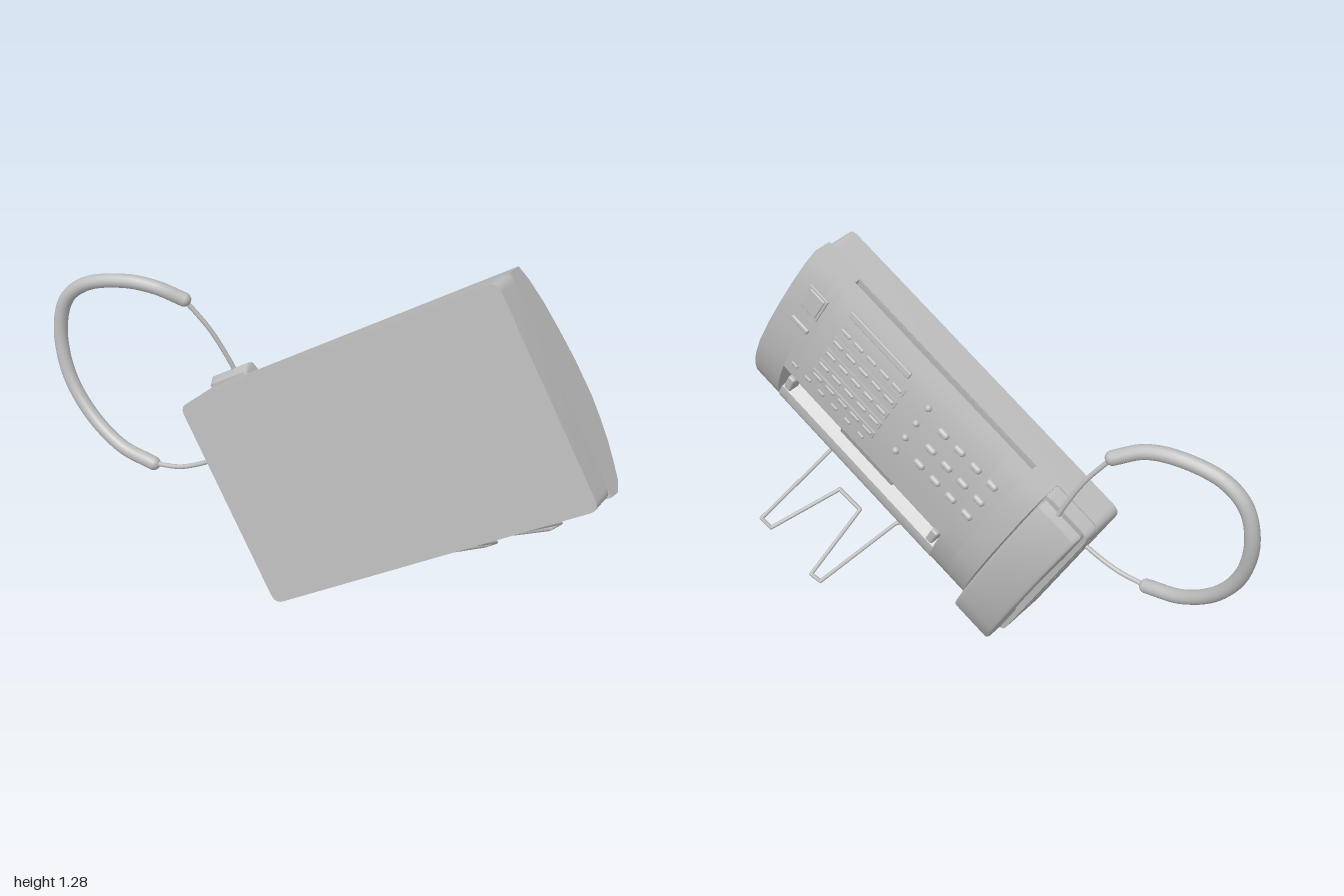
import * as THREE from 'three';
import { toCreasedNormals } from 'three/addons/utils/BufferGeometryUtils.js';
import { RoundedBoxGeometry } from 'three/addons/geometries/RoundedBoxGeometry.js';

const grey = new THREE.MeshStandardMaterial({ color: 0xbcbcbc });
grey.name = 'light grey plastic';

// Top outline of the console, [depth, height], front to rear
const TOP = [[-0.005, 0.15], [0.02, 0.185], [0.075, 0.21], [0.135, 0.232], [0.2, 0.247], [0.28, 0.258],
  [0.4, 0.254], [0.5, 0.24], [0.61, 0.218], [0.69, 0.192], [0.74, 0.165]];

function add(parent, name, geometry, x = 0, y = 0, z = 0) {
  const mesh = new THREE.Mesh(geometry, grey);
  mesh.name = name;
  mesh.position.set(x, y, z);
  parent.add(mesh);
  return mesh;
}

// Extrude a [depth, height] outline along x from x0 to x1
function slice(points, x0, x1, bevel = 0) {
  const shape = new THREE.Shape(points.map(p => new THREE.Vector2(p[0], p[1])));
  const g = new THREE.ExtrudeGeometry(shape, {
    depth: x1 - x0 - 2 * bevel, bevelEnabled: bevel > 0,
    bevelSize: bevel, bevelThickness: bevel, bevelOffset: -bevel, bevelSegments: 3,
  });
  g.rotateY(-Math.PI / 2);
  g.translate(x1 - bevel, 0, 0);
  return toCreasedNormals(g, 0.6);
}

// Flat slab with rounded plan corners
function slab(x0, x1, z0, z1, y0, y1, r) {
  const s = new THREE.Shape();
  s.moveTo(x0 + r, z0);
  s.lineTo(x1 - r, z0).quadraticCurveTo(x1, z0, x1, z0 + r);
  s.lineTo(x1, z1 - r).quadraticCurveTo(x1, z1, x1 - r, z1);
  s.lineTo(x0 + r, z1).quadraticCurveTo(x0, z1, x0, z1 - r);
  s.lineTo(x0, z0 + r).quadraticCurveTo(x0, z0, x0 + r, z0);
  const g = new THREE.ExtrudeGeometry(s, { depth: y1 - y0, bevelEnabled: false, curveSegments: 6 });
  g.rotateX(Math.PI / 2);
  g.translate(0, y1, 0);
  return toCreasedNormals(g, 0.6);
}

// Console outline, optionally with paper slots and a document recess
function outline(slots, recess) {
  const front = slots ? [[0.05, 0.1], [0.05, 0.118], [0, 0.118]] : [[0, 0.1]];
  const rear = slots ? [[0.74, 0.137], [0.69, 0.137], [0.69, 0.115], [0.74, 0.115], [0.74, 0.1]] : [[0.74, 0.1]];
  const dip = [[-0.005, 0.15], [0.015, 0.185], [0.05, 0.2], [0.085, 0.195], [0.11, 0.155], [0.15, 0.155], [0.25, 0.215], [0.28, 0.258]];
  const top = recess ? dip.concat(TOP.slice(6)) : TOP;
  return [...front, ...top, ...rear].reverse();
}

// Set a part on the sloping top, aligned to its surface
function onTop(parent, name, geometry, x, z) {
  let i = 0;
  while (i < TOP.length - 2 && TOP[i + 1][0] < z) i++;
  const [a, b] = [TOP[i], TOP[i + 1]];
  const slope = (b[1] - a[1]) / (b[0] - a[0]);
  const m = add(parent, name, geometry, x, a[1] + slope * (z - a[0]), z);
  m.rotation.x = -Math.atan(slope);
}

function buildConsole(machine) {
  // Base tray, seam and deck under the handset
  add(machine, 'base', slab(0, 1.26, 0, 0.74, 0, 0.106, 0.035));
  add(machine, 'seam', slab(0.005, 1.255, 0.005, 0.735, 0.1, 0.116, 0.035));
  add(machine, 'handsetDeck', slab(0, 0.2, 0, 0.74, 0.111, 0.165, 0.03));

  // Upper housing
  [[0.19, 0.28, false, false], [0.28, 0.36, true, false], [0.36, 1.1, true, true],
    [1.1, 1.14, false, true], [1.14, 1.26, false, false]].forEach(([x0, x1, slots, recess]) =>
    add(machine, 'upperHousing', slice(outline(slots, recess), x0, x1)));

  // Document ramp and guides in the recess
  add(machine, 'documentRamp', slice([[0.12, 0.15], [0.25, 0.21], [0.265, 0.24], [0.15, 0.178], [0.12, 0.17]], 0.62, 0.88));
  for (const x of [0.39, 1.11]) {
    add(machine, 'documentGuide', new RoundedBoxGeometry(0.03, 0.05, 0.07, 2, 0.008), x, 0.195, 0.16);
  }
}

function buildControls(machine) {
  // Square button and pill switch at the far end
  onTop(machine, 'squareButtonFrame', new RoundedBoxGeometry(0.085, 0.008, 0.1, 2, 0.003), 1.16, 0.61);
  onTop(machine, 'squareButton', new RoundedBoxGeometry(0.068, 0.016, 0.082, 2, 0.005), 1.16, 0.61);
  onTop(machine, 'pillSwitch', new RoundedBoxGeometry(0.08, 0.016, 0.022, 2, 0.007), 1.16, 0.5);

  // Long function bars
  for (let i = 0; i < 5; i++) {
    const z = 0.39 + i * 0.058;
    onTop(machine, 'labelStrip', new THREE.BoxGeometry(0.3, 0.012, 0.034), 0.89, z);
    for (let k = 0; k < 5; k++) {
      onTop(machine, 'functionKey', new RoundedBoxGeometry(0.045, 0.02, 0.015, 1, 0.005), 0.77 + k * 0.06, z);
    }
  }
  for (let k = 0; k < 6; k++) {
    onTop(machine, 'smallKey', new RoundedBoxGeometry(0.03, 0.012, 0.014, 1, 0.004), 0.78 + k * 0.065, 0.335);
  }
  onTop(machine, 'displayStrip', new RoundedBoxGeometry(0.28, 0.012, 0.025, 1, 0.004), 0.9, 0.685);

  // Round lamps and the number pad
  const lamp = new THREE.SphereGeometry(0.013, 12, 8);
  for (let i = 0; i < 4; i++) onTop(machine, 'roundKey', lamp, 0.65, 0.42 + i * 0.078);
  const key = new RoundedBoxGeometry(0.046, 0.026, 0.026, 3, 0.012);
  for (let c = 0; c < 4; c++) {
    for (let r = 0; r < 3; r++) onTop(machine, 'numberKey', key, 0.335 + c * 0.075, 0.46 + r * 0.085);
  }
}

function buildHandset(machine) {
  // Arched grip with a cup at each end
  const profile = [[0.02, 0.17], [0.18, 0.17], [0.2, 0.2], [0.25, 0.228], [0.38, 0.24], [0.51, 0.228],
    [0.57, 0.2], [0.59, 0.17], [0.75, 0.17], [0.77, 0.2], [0.765, 0.235], [0.7, 0.26], [0.58, 0.284],
    [0.45, 0.296], [0.3, 0.297], [0.15, 0.285], [0.05, 0.262], [0.015, 0.235]];
  add(machine, 'handset', slice(profile, 0.015, 0.18, 0.012));
}

// Chain of straight round bars with rounded joints
function rod(parent, name, points, r) {
  const v = points.map(p => new THREE.Vector3(...p));
  const up = new THREE.Vector3(0, 1, 0);
  for (let i = 0; i < v.length; i++) {
    add(parent, name, new THREE.SphereGeometry(r, 10, 8), ...v[i].toArray());
    if (i === 0) continue;
    const d = v[i].clone().sub(v[i - 1]);
    const mid = v[i].clone().add(v[i - 1]).multiplyScalar(0.5);
    const bar = add(parent, name, new THREE.CylinderGeometry(r, r, d.length(), 10, 1, true), ...mid.toArray());
    bar.quaternion.setFromUnitVectors(up, d.normalize());
  }
}

function cable(parent, name, points, r) {
  const curve = new THREE.CatmullRomCurve3(points.map(p => new THREE.Vector3(...p)));
  add(parent, name, new THREE.TubeGeometry(curve, 80, r, 14), 0, 0, 0);
  for (const p of [points[0], points[points.length - 1]]) {
    add(parent, name + 'End', new THREE.SphereGeometry(r, 14, 10), ...p);
  }
}

export function createModel() {
  const model = new THREE.Group();
  model.name = 'deskFaxTelephone';

  // Machine, modelled flat and then tipped with its underside to the front
  const machine = new THREE.Group();
  machine.name = 'machine';
  buildConsole(machine);
  buildControls(machine);
  buildHandset(machine);
  const u = new THREE.Vector3(0.849, 0.524, 0.067).normalize();
  const v = new THREE.Vector3(-0.516, 0.842, -0.156);
  v.addScaledVector(u, -v.dot(u)).normalize();
  const up = new THREE.Vector3().crossVectors(v, u);
  const m = new THREE.Matrix4().makeBasis(u, up, v).setPosition(-0.11, 0.026, 0.168);
  m.decompose(machine.position, machine.quaternion, machine.scale);
  model.add(machine);

  // Bent wire paper support
  rod(model, 'wireSupport', [[0.32, 0.275, 0.11], [0.38, 0.26, 0.04], [0.5, 0.145, -0.245], [0.535, 0.165, -0.25],
    [0.5, 0.3, 0], [0.585, 0.355, 0], [0.72, 0.275, -0.225], [0.755, 0.305, -0.23], [0.67, 0.455, 0.11], [0.66, 0.5, 0.13]], 0.007);

  // Handset cord: thick loop with thin leads
  cable(model, 'cordLoop', [[-0.53, 0.965, -0.105], [-0.62, 1.005, -0.08], [-0.73, 1.015, -0.07], [-0.87, 0.985, -0.062],
    [-0.945, 0.92, -0.06], [-0.975, 0.8, -0.055], [-0.945, 0.65, -0.035], [-0.86, 0.525, -0.01], [-0.73, 0.435, 0.022],
    [-0.6, 0.405, 0.044]], 0.024);
  cable(model, 'cordUpperLead', [[-0.53, 0.965, -0.105], [-0.45, 0.86, -0.125], [-0.39, 0.75, -0.14], [-0.35, 0.66, -0.15]], 0.008);
  cable(model, 'cordLowerLead', [[-0.6, 0.405, 0.044], [-0.5, 0.415, 0.05], [-0.43, 0.44, 0.05], [-0.36, 0.475, 0.05]], 0.008);
  return model;
}
